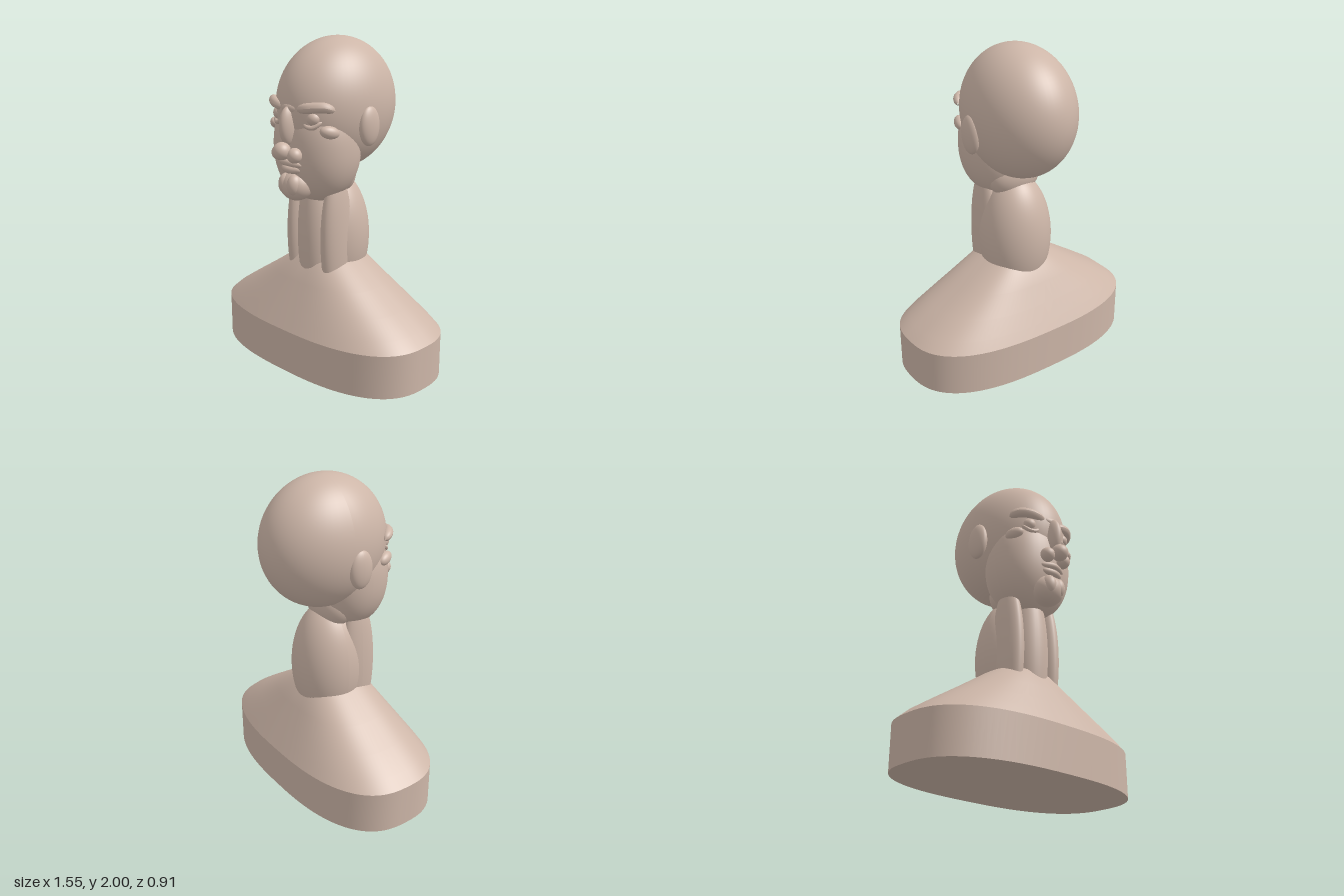
import * as THREE from 'three';

const clay = new THREE.MeshStandardMaterial({ color: 0xcdb6a8 });
clay.name = 'clay';

// Ellipsoid with optional squareness (power > 2) and tilt
function blob(group, name, pos, radii, { power = 2, rot = [0, 0, 0], seg = 32 } = {}) {
  const geo = new THREE.SphereGeometry(1, seg, Math.round(seg * 0.75));
  if (power !== 2) {
    const p = geo.attributes.position;
    for (let i = 0; i < p.count; i++) {
      const v = [p.getX(i), p.getY(i), p.getZ(i)];
      const k = v.reduce((s, c) => s + Math.abs(c) ** power, 0) ** (-1 / power);
      p.setXYZ(i, v[0] * k, v[1] * k, v[2] * k);
    }
  }
  geo.scale(...radii);
  geo.computeVertexNormals();
  const mesh = new THREE.Mesh(geo, clay);
  mesh.position.set(...pos);
  mesh.rotation.set(...rot);
  mesh.name = name;
  group.add(mesh);
  return mesh;
}

// The same blob on both sides of the face
function pair(group, name, pos, radii, opt = {}) {
  const r = opt.rot || [0, 0, 0];
  blob(group, name + 'Left', pos, radii, opt);
  blob(group, name + 'Right', [-pos[0], pos[1], pos[2]], radii, { ...opt, rot: [r[0], -r[1], -r[2]] });
}

// Soft bar with tapering round ends along a list of points
function bar(group, name, points, radius) {
  const curve = new THREE.CatmullRomCurve3(points.map(p => new THREE.Vector3(...p)));
  const geo = new THREE.TubeGeometry(curve, 24, radius, 14);
  const p = geo.attributes.position;
  const v = new THREE.Vector3();
  for (let i = 0; i < p.count; i++) {
    const t = Math.floor(i / 15) / 24;
    const c = curve.getPointAt(t);
    const k = Math.max(0.02, (1 - Math.abs(2 * t - 1) ** 4)) ** 0.5;
    v.fromBufferAttribute(p, i).sub(c).multiplyScalar(k).add(c);
    p.setXYZ(i, v.x, v.y, v.z);
  }
  geo.computeVertexNormals();
  const mesh = new THREE.Mesh(geo, clay);
  mesh.name = name;
  group.add(mesh);
}

// Skin of stacked rounded-oblong rings: [height, half width, half depth]
function loft(group, name, rings, power, capBottom) {
  const N = 96, pos = [], idx = [];
  for (const [y, a, b] of rings) {
    for (let i = 0; i < N; i++) {
      const t = (i / N) * Math.PI * 2, c = Math.cos(t), s = Math.sin(t);
      pos.push(a * Math.sign(c) * Math.abs(c) ** (2 / power), y, 0.005 + b * Math.sign(s) * Math.abs(s) ** (2 / power));
    }
  }
  for (let r = 0; r < rings.length - 1; r++) {
    for (let i = 0; i < N; i++) {
      const a = r * N + i, b = r * N + (i + 1) % N;
      idx.push(a, a + N, b, b, a + N, b + N);
    }
  }
  if (capBottom) {
    const c = pos.length / 3;
    for (let i = 0; i < N; i++) pos.push(pos[i * 3], rings[0][0], pos[i * 3 + 2]);
    pos.push(0, rings[0][0], 0.005);
    for (let i = 0; i < N; i++) idx.push(c + N, c + i, c + (i + 1) % N);
  }
  const geo = new THREE.BufferGeometry();
  geo.setAttribute('position', new THREE.Float32BufferAttribute(pos, 3));
  geo.setIndex(idx);
  geo.computeVertexNormals();
  const mesh = new THREE.Mesh(geo, clay);
  mesh.name = name;
  group.add(mesh);
}

function part(parent, name) {
  const g = new THREE.Group();
  g.name = name;
  parent.add(g);
  return g;
}

export function createModel() {
  const model = new THREE.Group();
  model.name = 'bust';

  // Base wall and sloping shoulders, split so the rim stays crisp
  const base = part(model, 'base');
  loft(base, 'plinth', [[0, 0.775, 0.425], [0.27, 0.775, 0.425]], 2.6, true);
  loft(base, 'shoulders', [[0.27, 0.775, 0.425], [0.33, 0.705, 0.39], [0.42, 0.57, 0.337],
    [0.53, 0.4, 0.272], [0.65, 0.22, 0.2], [0.7, 0.12, 0.12]], 2.6, false);

  // Neck with throat and side muscles
  const neck = part(model, 'neck');
  blob(neck, 'neckCore', [0, 0.78, -0.02], [0.227, 0.41, 0.225], { seg: 48 });
  blob(neck, 'throat', [0, 0.8, 0.125], [0.115, 0.46, 0.115]);
  pair(neck, 'neckMuscle', [0.145, 0.8, 0.1], [0.065, 0.42, 0.12]);
  blob(neck, 'nape', [0, 1.19, 0], [0.18, 0.15, 0.12]);

  // Skull, jaw and ears
  const head = part(model, 'head');
  blob(head, 'skull', [0, 1.6, -0.05], [0.315, 0.4, 0.403], { seg: 56 });
  blob(head, 'jaw', [0, 1.37, 0.115], [0.27, 0.34, 0.235], { power: 2.2, seg: 48 });
  blob(head, 'chin', [0, 1.155, 0.285], [0.105, 0.095, 0.1]);
  pair(head, 'chinLobe', [0.035, 1.165, 0.335], [0.045, 0.065, 0.052]);
  pair(head, 'ear', [0.305, 1.505, -0.007], [0.04, 0.118, 0.077]);

  // Nose and mouth
  const face = part(model, 'face');
  blob(face, 'noseBridge', [0, 1.515, 0.345], [0.04, 0.115, 0.066]);
  blob(face, 'noseTip', [0, 1.375, 0.4], [0.052, 0.052, 0.054]);
  pair(face, 'nostril', [0.065, 1.352, 0.362], [0.045, 0.045, 0.045]);
  bar(face, 'upperLip', [[-0.095, 1.29, 0.325], [0, 1.298, 0.352], [0.095, 1.29, 0.325]], 0.02);
  bar(face, 'lowerLip', [[-0.08, 1.26, 0.32], [0, 1.255, 0.345], [0.08, 1.26, 0.32]], 0.022);

  // Brows, eyes with lower lids, and cheekbones
  blob(face, 'browCentre', [0, 1.615, 0.325], [0.07, 0.035, 0.035]);
  pair(face, 'eyeball', [0.138, 1.565, 0.278], [0.045, 0.042, 0.045]);
  pair(face, 'cheekbone', [0.222, 1.49, 0.235], [0.035, 0.037, 0.06], { rot: [-0.25, -0.4, 0] });
  for (const s of [1, -1]) {
    const side = s > 0 ? 'Left' : 'Right';
    bar(face, 'brow' + side, [[0.05 * s, 1.612, 0.325], [0.14 * s, 1.628, 0.312], [0.205 * s, 1.633, 0.268],
      [0.245 * s, 1.615, 0.215]], 0.031);
    bar(face, 'lowerLid' + side, [[0.085 * s, 1.56, 0.31], [0.11 * s, 1.522, 0.312], [0.15 * s, 1.515, 0.3],
      [0.19 * s, 1.55, 0.265]], 0.014);
  }
  return model;
}
